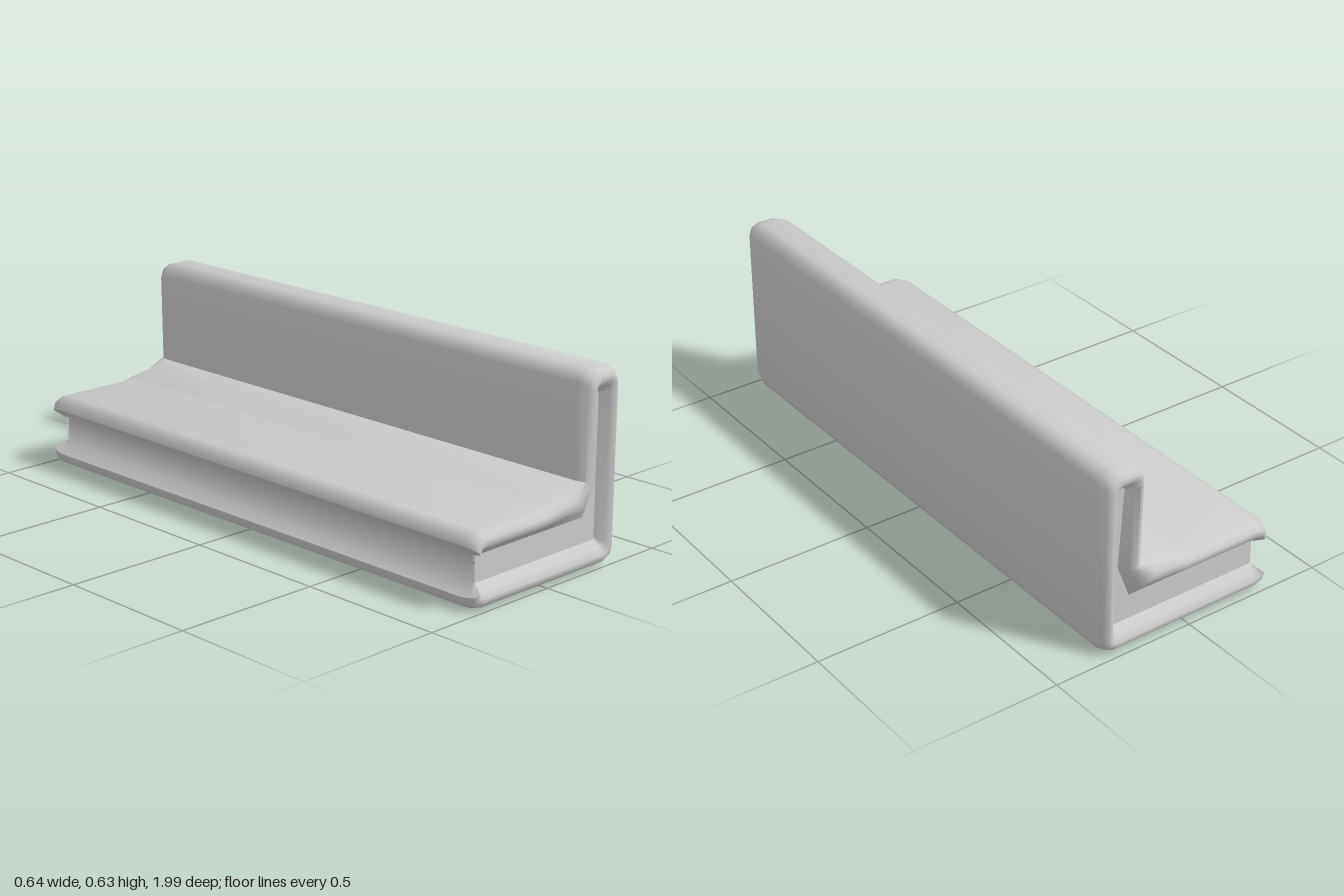
import * as THREE from 'three';
import { toCreasedNormals } from 'three/addons/utils/BufferGeometryUtils.js';

// Cross-section, clockwise from the groove: [outer x, outer y, end-recess x, end-recess y]
const SECTION = [
  [-0.28, 0.165, -0.28, 0.165],
  [-0.318, 0.2, -0.28, 0.165],
  [-0.31, 0.23, -0.275, 0.165],
  [-0.28, 0.245, -0.26, 0.165],
  [0, 0.245, 0, 0.165],
  [0.035, 0.256, 0.06, 0.165],
  [0.1, 0.271, 0.2, 0.165],
  [0.172, 0.287, 0.245, 0.28],
  [0.172, 0.592, 0.23, 0.54],
  [0.184, 0.622, 0.23, 0.552],
  [0.215, 0.635, 0.235, 0.553],
  [0.28, 0.635, 0.25, 0.553],
  [0.308, 0.622, 0.257, 0.552],
  [0.32, 0.592, 0.258, 0.54],
  [0.32, 0.044, 0.258, 0.09],
  [0.308, 0.013, 0.258, 0.082],
  [0.278, 0, 0.25, 0.08],
  [-0.28, 0, -0.26, 0.08],
  [-0.312, 0.013, -0.275, 0.08],
  [-0.32, 0.044, -0.28, 0.08],
  [-0.28, 0.08, -0.28, 0.08],
];
const BOTTOM = 16; // the open underside lies between points 16 and 17
const INNER_Z = 0.96;

// Rounded bead at each end: [blend from outer to recess, z]
const BEAD = [[1, 0.96], [0.72, 0.985], [0.5, 1], [0.3, 0.998], [0.14, 0.985], [0, 0.95]];

function shellGeometry() {
  const back = [...BEAD].reverse().map(([t, z]) => [t, -z * 0.99]);
  const rows = [...BEAD, ...back];
  const n = SECTION.length;
  const positions = [], index = [];
  for (const [t, z] of rows) {
    SECTION.forEach(([x, y, qx, qy], i) => {
      const lip = i === 0 || i === n - 1;
      const pz = lip ? Math.sign(z) * Math.min(Math.abs(z), INNER_Z) : z;
      positions.push(x + (qx - x) * t, y + (qy - y) * t, pz);
    });
  }
  const quad = (a, b, c, d) => index.push(a, b, c, a, c, d);
  for (let r = 0; r < rows.length - 1; r++) {
    const span = r === BEAD.length - 1;
    for (let i = 0; i < n; i++) {
      if (span && i === BOTTOM) continue; // leave the underside open
      if (!span && i === n - 1) continue; // the groove wall only runs lengthwise
      const j = (i + 1) % n;
      quad(r * n + i, r * n + j, (r + 1) * n + j, (r + 1) * n + i);
    }
  }
  const g = new THREE.BufferGeometry();
  g.setAttribute('position', new THREE.Float32BufferAttribute(positions, 3));
  g.setIndex(index);
  return toCreasedNormals(g, 1.0);
}

export function createModel() {
  const group = new THREE.Group();
  group.name = 'bench';
  const material = new THREE.MeshStandardMaterial({ color: 0xcccccc, side: THREE.DoubleSide });
  const add = (geometry, name) => {
    const mesh = new THREE.Mesh(geometry, material);
    mesh.name = name;
    group.add(mesh);
    return mesh;
  };

  // Seat, backrest and grooved base as one hollow skin
  add(shellGeometry(), 'seatAndBackrestShell');

  // Recessed panels closing both ends
  const panel = new THREE.Shape(SECTION.slice(1, -1).map(([, , x, y]) => new THREE.Vector2(x, y)));
  add(new THREE.ShapeGeometry(panel), 'frontEndPanel').position.z = INNER_Z;
  const backPanel = add(new THREE.ShapeGeometry(panel), 'backEndPanel');
  backPanel.position.z = -INNER_Z * 0.99;

  return group;
}
